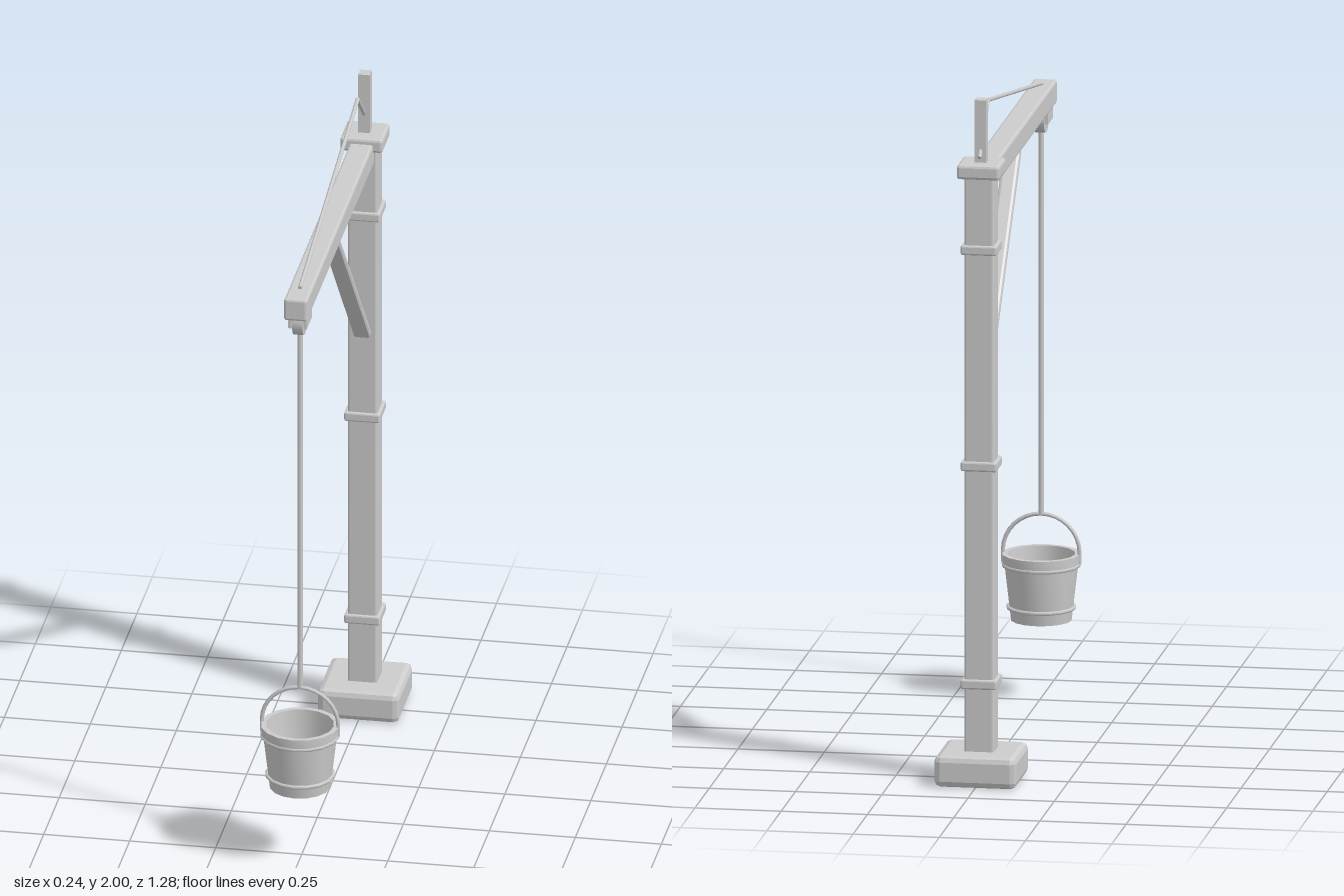
import * as THREE from 'three';
import { toCreasedNormals } from 'three/addons/utils/BufferGeometryUtils.js';
import { RoundedBoxGeometry } from 'three/addons/geometries/RoundedBoxGeometry.js';

export function createModel() {
  const grey = new THREE.MeshStandardMaterial({ color: 0xcccccc });
  grey.name = 'plainGrey';
  const model = new THREE.Group();
  model.name = 'bucketCrane';
  const postZ = -0.518, ropeZ = 0.527;

  const add = (name, geometry, x = 0, y = 0, z = 0, parent = model) => {
    const mesh = new THREE.Mesh(geometry, grey);
    mesh.name = name;
    mesh.position.set(x, y, z);
    parent.add(mesh);
    return mesh;
  };
  // Box with flat chamfered edges
  const chamferBox = (w, h, d, c) => {
    const g = new RoundedBoxGeometry(w, h, d, 1, c);
    g.computeVertexNormals();
    return g;
  };
  // Thin round bar between two points in the x = 0 plane
  const bar = (name, y0, z0, y1, z1, r) => {
    const a = new THREE.Vector3(0, y0, z0), b = new THREE.Vector3(0, y1, z1);
    const mesh = add(name, new THREE.CylinderGeometry(r, r, a.distanceTo(b), 8));
    mesh.position.copy(a).lerp(b, 0.5);
    mesh.quaternion.setFromUnitVectors(new THREE.Vector3(0, 1, 0), b.sub(a).normalize());
    return mesh;
  };

  // Foot, post, straps and cap
  add('foot', chamferBox(0.238, 0.092, 0.238, 0.018), 0, 0.046, postZ);
  add('post', chamferBox(0.086, 1.74, 0.086, 0.006), 0, 0.93, postZ);
  for (const y of [0.29, 0.93, 1.565])
    add('postStrap', chamferBox(0.104, 0.028, 0.104, 0.005), 0, y, postZ);
  add('postCap', chamferBox(0.124, 0.042, 0.124, 0.008), 0, 1.796, postZ);
  add('finial', new THREE.BoxGeometry(0.034, 0.2, 0.034), 0, 1.9, postZ);

  // Horizontal arm with its diagonal brace
  add('arm', chamferBox(0.068, 0.068, 1.1, 0.007), 0, 1.767, 0.052);
  const brace = add('brace', chamferBox(0.05, 0.745, 0.028, 0.009), 0, 1.459, -0.224);
  brace.rotation.x = Math.atan2(0.515, 0.54);

  // Tie wire bent over its peak
  bar('tieWireLong', 1.805, ropeZ, 1.97, -0.4, 0.006);
  bar('tieWireShort', 1.97, -0.4, 1.835, -0.55, 0.006);

  // Pulley under the arm tip
  const sheave = new THREE.CylinderGeometry(0.048, 0.048, 0.03, 16);
  sheave.rotateZ(Math.PI / 2);
  add('pulleyWheel', toCreasedNormals(sheave, 0.6), 0, 1.709, ropeZ);
  for (const s of [-1, 1])
    add('pulleyCheek', new THREE.BoxGeometry(0.01, 0.045, 0.084), s * 0.022, 1.717, ropeZ);
  bar('rope', 1.7, ropeZ, 0.54, ropeZ, 0.008);

  // Bucket: hollow tapered shell, hoops and bail handle
  const bucket = new THREE.Group();
  bucket.name = 'bucket';
  bucket.position.set(0, 0.23, ropeZ);
  model.add(bucket);
  const profile = [
    [0, 0], [0.088, 0], [0.107, 0.162], [0.112, 0.165], [0.113, 0.195],
    [0.098, 0.195], [0.08, 0.02], [0, 0.02],
  ].map(([r, y]) => new THREE.Vector2(r, y));
  add('bucketShell', toCreasedNormals(new THREE.LatheGeometry(profile, 16), 0.5), 0, 0, 0, bucket);
  for (const [r, y] of [[0.109, 0.163], [0.095, 0.038]]) {
    const hoop = new THREE.TorusGeometry(r, 0.006, 6, 16);
    hoop.rotateX(Math.PI / 2);
    add('bucketHoop', hoop, 0, y, 0, bucket);
  }
  add('bucketHandle', new THREE.TorusGeometry(0.111, 0.006, 6, 16, Math.PI), 0, 0.2, 0, bucket);
  for (const s of [-1, 1])
    add('handleEnd', new THREE.CylinderGeometry(0.006, 0.006, 0.035, 6), s * 0.111, 0.184, 0, bucket);

  return model;
}
